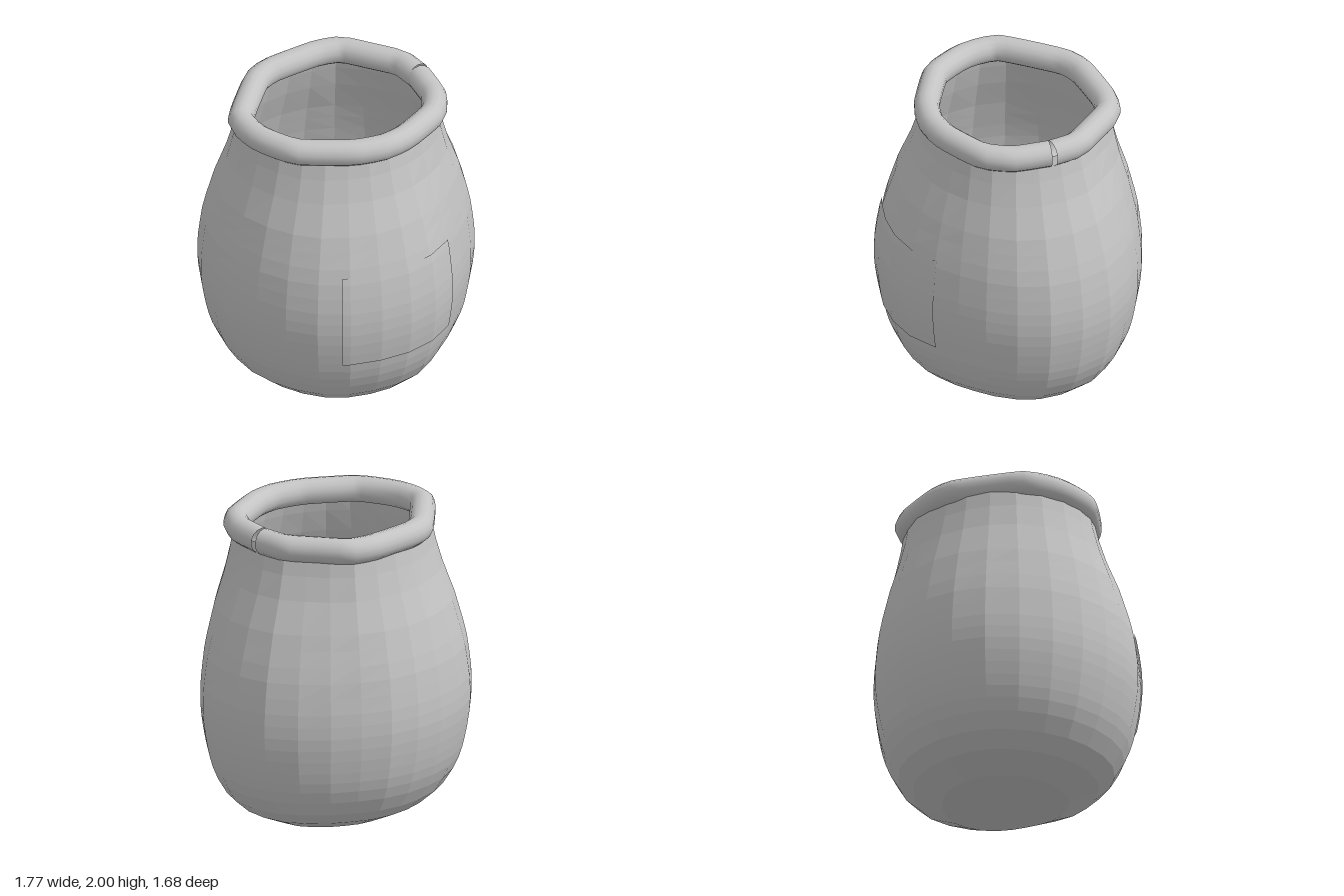
import * as THREE from 'three';

const clay = new THREE.MeshStandardMaterial({ color: 0xc4c4c4, side: THREE.DoubleSide });
clay.name = 'greyClay';
const SIDES = 26;

// Uneven plan outlines as x, z pairs, running from the front round through +x
const bellyOutline = [
  [0, .83], [.22, .79], [.375, .70], [.55, .56], [.735, .38], [.815, .26], [.87, .13], [.89, -.02],
  [.845, -.3], [.76, -.43], [.61, -.585], [.41, -.71], [.16, -.82], [-.02, -.84], [-.235, -.82],
  [-.475, -.745], [-.715, -.57], [-.85, -.3], [-.89, -.02], [-.88, .1], [-.825, .29], [-.74, .455],
  [-.61, .62], [-.44, .74], [-.22, .81],
];
const mouthOutline = [
  [-.02, .535], [.155, .51], [.43, .385], [.54, .22], [.575, 0], [.555, -.2], [.44, -.36], [.31, -.525],
  [.15, -.57], [-.18, -.56], [-.33, -.5], [-.63, -.19], [-.645, 0], [-.61, .12], [-.51, .3], [-.22, .485],
];

// Radius of an outline as a function of angle (0 = front, growing towards +x)
function polar(points) {
  const turn = Math.PI * 2;
  const wrap = a => ((a % turn) + turn) % turn;
  const list = points.map(([x, z]) => ({ a: wrap(Math.atan2(x, z)), r: Math.hypot(x, z) }))
    .sort((p, q) => p.a - q.a);
  const first = list[0], last = list[list.length - 1];
  list.unshift({ a: last.a - turn, r: last.r });
  list.push({ a: first.a + turn, r: first.r });
  return angle => {
    const a = wrap(angle);
    const i = list.findIndex(p => p.a > a);
    const p = list[i - 1], q = list[i];
    return p.r + (q.r - p.r) * (a - p.a) / (q.a - p.a);
  };
}
const belly = polar(bellyOutline);
const mouth = polar(mouthOutline);

// Height, scale of the belly outline, blend towards the mouth outline
const profile = [
  [0, .475, 0], [.09, .695, 0], [.18, .81, 0], [.28, .88, 0], [.36, .92, 0], [.43, .945, 0],
  [.5, .963, 0], [.58, .98, 0], [.66, .993, 0], [.74, 1, 0], [.82, 1, 0], [.9, .998, .01],
  [1, .993, .04], [1.1, 1, .12], [1.2, 1, .21], [1.3, 1, .32], [1.4, 1, .43], [1.6, 1, .72], [1.75, 1, .89], [1.9, 1, 1.02],
];

// Point on the pot wall at an angle and height, pushed out by an offset
function wallPoint(angle, y, offset = 0) {
  let i = 1;
  while (i < profile.length - 1 && profile[i][0] < y) i++;
  const [y0, s0, m0] = profile[i - 1], [y1, s1, m1] = profile[i];
  const t = (y - y0) / (y1 - y0);
  const s = s0 + (s1 - s0) * t, m = m0 + (m1 - m0) * t;
  const r = belly(angle) * s * (1 - m) + mouth(angle) * 1.04 * m + offset;
  return [r * Math.sin(angle), y, r * Math.cos(angle)];
}

// Faceted sheet from rows of points, each row running anticlockwise seen from above
function sheet(rows) {
  const n = rows[0].length, index = [];
  for (let j = 0; j < rows.length - 1; j++) {
    for (let i = 0; i < n - 1; i++) {
      const a = j * n + i, b = a + 1, c = a + n, d = c + 1;
      index.push(a, b, d, a, d, c);
    }
  }
  const g = new THREE.BufferGeometry();
  g.setAttribute('position', new THREE.Float32BufferAttribute(rows.flat(2), 3));
  g.setIndex(index);
  const flat = g.toNonIndexed();
  flat.computeVertexNormals();
  return flat;
}

const angles = Array.from({ length: SIDES + 1 }, (_, i) => i / SIDES * Math.PI * 2);
const ring = (y, scale = 1) => angles.map(a => {
  const [x, , z] = wallPoint(a, y);
  return [x * scale, y, z * scale];
});

export function createModel() {
  const group = new THREE.Group();
  group.name = 'pot';
  const add = (name, geometry) => {
    const mesh = new THREE.Mesh(geometry, clay);
    mesh.name = name;
    group.add(mesh);
    return mesh;
  };

  // Pear-shaped wall
  add('body', sheet(profile.map(([y]) => ring(y))));

  // Underside, and the flat floor inside
  add('base', sheet([ring(0, 0), ring(0)].reverse()));
  add('innerFloor', sheet([ring(.1, .99), ring(.1, 0)]));

  // Thick rolled rim, its two ends meeting on the +x side
  const path = mouthOutline.slice(5).concat(mouthOutline.slice(0, 4));
  const points = [[.575, -.025], ...path, [.575, -.012]].map(([x, z]) => new THREE.Vector3(x, 0, z));
  const curve = new THREE.CatmullRomCurve3(points, false, 'catmullrom', .25);
  const rim = add('rim', new THREE.TubeGeometry(curve, 48, .082, 14, false));
  rim.scale.y = 1.03;
  rim.position.y = 1.915;

  // Blank label wrapped on the front
  const from = Math.atan2(-.44, .73), to = Math.atan2(.39, .71);
  const columns = [from, ...[-2, -1, 0, 1, 2].map(i => i * Math.PI * 2 / SIDES), to];
  const heights = [.5, .58, .66, .74, .82, .9, 1, 1.1, 1.15];
  add('label', sheet(heights.map(y => columns.map(a => wallPoint(a, y, .008)))));

  return group;
}
